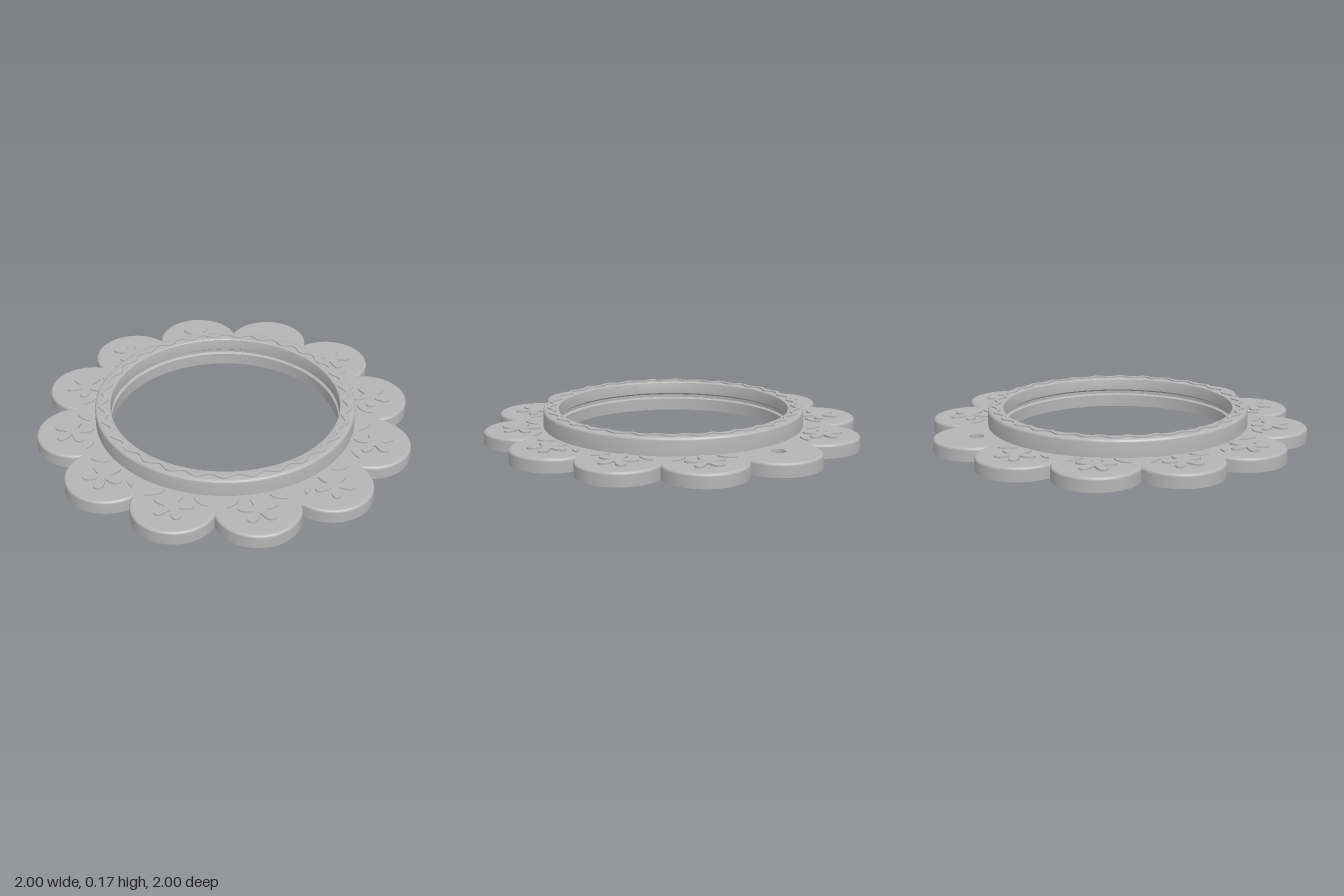
import * as THREE from 'three';
import { mergeGeometries, toCreasedNormals } from 'three/addons/utils/BufferGeometryUtils.js';

const LOBES = 12, CENTRE = 0.782, LOBE_R = 0.218, STEP = (Math.PI * 2) / LOBES;
const BORE = 0.605, RIM = 0.688, BASE_Y = 0.072, RIM_Y = 0.163, BEVEL = 0.014;
const HOLE_R = 0.038, HOLE_AT = 0.78;

// Points of one lobe (around +x), inset by d, from cusp to cusp
function lobeArc(d, n = 24) {
  const r = LOBE_R - d, s = CENTRE * Math.sin(STEP / 2);
  const cusp = CENTRE * Math.cos(STEP / 2) + Math.sqrt(r * r - s * s);
  const end = Math.atan2(cusp * Math.sin(STEP / 2), cusp * Math.cos(STEP / 2) - CENTRE);
  return Array.from({ length: n + 1 }, (_, i) => {
    const a = end * ((2 * i) / n - 1);
    return new THREE.Vector2(CENTRE + r * Math.cos(a), r * Math.sin(a));
  });
}

function circlePath(x, y, r) {
  return new THREE.Path().absarc(x, y, r, 0, Math.PI * 2, true);
}

// Flat scalloped face with the bore and the hanging hole
function scallopFace(d, bore, holeY) {
  const pts = [], o = new THREE.Vector2();
  for (let k = 0; k < LOBES; k++) {
    for (const p of lobeArc(d).slice(0, -1)) pts.push(p.rotateAround(o, k * STEP));
  }
  const shape = new THREE.Shape(pts);
  shape.holes.push(circlePath(0, 0, bore), circlePath(0, holeY, HOLE_R));
  return new THREE.ShapeGeometry(shape, 48);
}

// Scalloped side wall with a rounded upper edge
function scallopWall() {
  const levels = [[0, 0], [0, BASE_Y - BEVEL]];
  for (let i = 1; i <= 4; i++) {
    const a = (i / 4) * (Math.PI / 2);
    levels.push([BEVEL * (1 - Math.cos(a)), BASE_Y - BEVEL * (1 - Math.sin(a))]);
  }
  const pos = [], idx = [];
  let n = 0;
  levels.forEach(([d, y], j) => {
    const arc = lobeArc(d);
    n = arc.length;
    arc.forEach((p, i) => {
      pos.push(p.x, y, -p.y);
      if (j && i) {
        const c = j * n + i, b = c - n;
        idx.push(b - 1, b, c, b - 1, c, c - 1);
      }
    });
  });
  const lobe = new THREE.BufferGeometry();
  lobe.setAttribute('position', new THREE.Float32BufferAttribute(pos, 3));
  lobe.setIndex(idx);
  lobe.computeVertexNormals();
  return mergeGeometries(Array.from({ length: LOBES }, (_, k) => lobe.clone().rotateY(k * STEP)));
}

function lathe(points, segments) {
  const g = new THREE.LatheGeometry(points.map(([r, y]) => new THREE.Vector2(r, y)), segments);
  return toCreasedNormals(g, 0.5);
}

// Closed polar outline
function polar(fn, n, Type = THREE.Shape) {
  return new Type(Array.from({ length: n }, (_, i) => {
    const a = (i / n) * Math.PI * 2, r = fn(a);
    return new THREE.Vector2(r * Math.cos(a), r * Math.sin(a));
  }));
}

// Low relief lying flat on the given height
function relief(shape, y, height) {
  const g = new THREE.ExtrudeGeometry(shape, { depth: height, bevelEnabled: false, curveSegments: 10 });
  return g.rotateX(-Math.PI / 2).translate(0, y, 0);
}

export function createModel() {
  const model = new THREE.Group();
  const grey = new THREE.MeshStandardMaterial({ color: 0xb4b4b4 });
  grey.name = 'plain grey';
  const add = (name, geometry, parent = model) => {
    const mesh = new THREE.Mesh(geometry, grey);
    mesh.name = name;
    parent.add(mesh);
    return mesh;
  };

  // Scalloped base
  add('baseTop', scallopFace(BEVEL, RIM - 0.01, HOLE_AT).rotateX(-Math.PI / 2).translate(0, BASE_Y, 0));
  add('baseBottom', scallopFace(0, BORE, -HOLE_AT).rotateX(Math.PI / 2));
  add('baseEdge', scallopWall());
  add('hangingHole', lathe([[HOLE_R, BASE_Y], [HOLE_R, 0]], 32).translate(0, 0, -HOLE_AT));

  // Raised rim with rounded shoulders and a groove inside the bore
  const rim = [[RIM, BASE_Y - 0.01]];
  const round = 0.014;
  for (let i = 0; i <= 4; i++) {
    const a = (i / 4) * (Math.PI / 2);
    rim.push([RIM - round + round * Math.cos(a), RIM_Y - round + round * Math.sin(a)]);
  }
  for (let i = 0; i <= 3; i++) {
    const a = (i / 3) * (Math.PI / 2);
    rim.push([BORE + 0.008 * (1 - Math.sin(a)), RIM_Y - 0.008 * (1 - Math.cos(a))]);
  }
  rim.push([BORE, 0.098], [BORE + 0.014, 0.088], [BORE + 0.014, 0.072], [BORE, 0.065], [BORE, 0]);
  add('rim', lathe(rim, 128));

  // Wavy raised line on top of the rim
  const wave = (a) => 0.645 + 0.014 * Math.cos(30 * a);
  const ribbon = polar((a) => wave(a) + 0.01, 360);
  ribbon.holes.push(polar((a) => wave(a) - 0.01, 360, THREE.Path));
  add('wavyTrim', relief(ribbon, RIM_Y - 0.002, 0.009));

  // Flower and leaf shapes
  const flower = polar((a) => 0.074 + 0.036 * Math.cos(5 * a) - 0.006 * Math.cos(10 * a), 80);
  const flowerGeo = toCreasedNormals(relief(flower, BASE_Y - 0.003, 0.012).rotateY(Math.PI), 0.6);
  const leaf = new THREE.Shape();
  leaf.moveTo(0, 0);
  leaf.quadraticCurveTo(0.045, 0.035, 0.1, 0.008);
  leaf.quadraticCurveTo(0.05, -0.028, 0, 0);
  const leafGeo = toCreasedNormals(relief(leaf, BASE_Y - 0.003, 0.01), 0.6);

  // One flower with a leaf pair on every lobe except the one with the hole
  for (let k = 0; k < LOBES; k++) {
    if (k === 3) continue;
    const sprig = new THREE.Group();
    sprig.name = 'flowerSprig';
    sprig.rotation.y = k * STEP;
    add('flower', flowerGeo, sprig).position.x = 0.81;
    for (const s of [-1, 1]) {
      const blade = add('leaf', leafGeo, sprig);
      blade.position.set(0.71, 0, s * 0.075);
      blade.rotation.y = -s * 1.0;
    }
    model.add(sprig);
  }
  return model;
}
